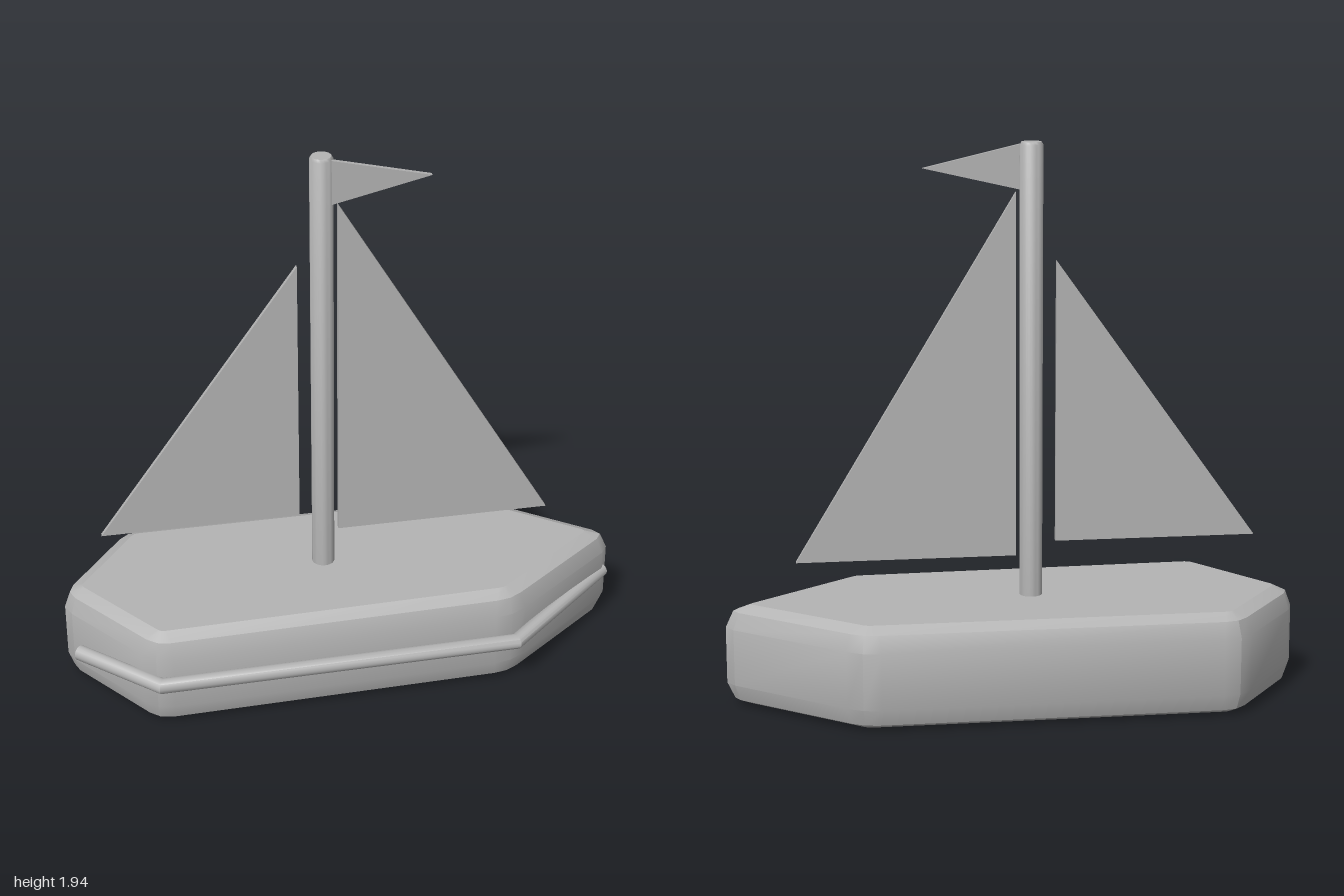
import * as THREE from 'three';
import { toCreasedNormals } from 'three/addons/utils/BufferGeometryUtils.js';

const V = (x, z) => new THREE.Vector2(x, z);

// Closed solid skinned over equal-length rings of [x, y, z] points
function loft(rings, crease) {
  const n = rings[0].length, last = (rings.length - 1) * n, index = [];
  for (let i = 0; i < rings.length - 1; i++) {
    for (let j = 0; j < n; j++) {
      const a = i * n + j, b = i * n + (j + 1) % n;
      index.push(a, b, b + n, a, b + n, a + n);
    }
  }
  for (let j = 1; j < n - 1; j++) {
    index.push(0, j + 1, j, last, last + j, last + j + 1);
  }
  const geo = new THREE.BufferGeometry();
  geo.setAttribute('position', new THREE.Float32BufferAttribute(rings.flat(2), 3));
  geo.setIndex(index);
  return toCreasedNormals(geo, crease);
}

// Sideways vector of a path point, lengthened so that corners are mitred
function mitre(prev, p, next) {
  const side = (a, b) => { const d = b.clone().sub(a).normalize(); return V(-d.y, d.x); };
  const n1 = side(prev ?? p, next && !prev ? next : p);
  const n2 = next ? side(p, next) : n1;
  const m = n1.clone().add(n2).normalize();
  return m.divideScalar(m.dot(n1));
}

// Hull deck plan, inset by a distance and with each corner rounded to three points
function hullRing(plan, y, inset) {
  const n = plan.length;
  const pts = plan.map((p, i) =>
    p.clone().addScaledVector(mitre(plan[(i + n - 1) % n], p, plan[(i + 1) % n]), -inset));
  const r = 0.065 - inset * 0.75;
  return pts.flatMap((p, i) => {
    const toward = (q) => q.clone().sub(p).setLength(r).add(p);
    const a = toward(pts[(i + n - 1) % n]), c = toward(pts[(i + 1) % n]);
    const b = a.clone().add(c).multiplyScalar(0.25).addScaledVector(p, 0.5);
    return [a, b, c].map((q) => [q.x, y, q.y]);
  });
}

function hullGeometry() {
  const plan = [V(-0.73, 0.355), V(0.55, 0.325), V(1.022, -0.035),
    V(0.55, -0.4), V(-0.75, -0.4), V(-1.02, -0.04)];
  const levels = [[0, 0.065], [0.022, 0.02], [0.08, 0], [0.28, 0], [0.338, 0.02], [0.36, 0.065]];
  return loft(levels.map(([y, inset]) => hullRing(plan, y, inset)), 0.4);
}

// Round rail bent around the front side of the hull
function railGeometry() {
  const path = [V(-0.97, 0.12), V(-0.71, 0.37), V(0.555, 0.355), V(0.978, -0.022)];
  const sides = 16, radius = 0.027;
  const rings = path.map((p, i) => {
    const m = mitre(path[i - 1], p, path[i + 1]);
    return Array.from({ length: sides }, (_, k) => {
      const t = (k / sides) * Math.PI * 2, s = radius * Math.sin(t);
      return [p.x + m.x * s, 0.188 + radius * Math.cos(t), p.y + m.y * s];
    });
  });
  return loft(rings, 0.6);
}

// Thin triangular sheet centred on a depth z
function sheetGeometry(points, z, depth) {
  const shape = new THREE.Shape(points.map(([x, y]) => V(x, y)));
  return new THREE.ExtrudeGeometry(shape, { depth, bevelEnabled: false }).translate(0, 0, z - depth / 2);
}

export function createModel() {
  const grey = new THREE.MeshStandardMaterial({ color: 0xb4b4b4 });
  grey.name = 'plain grey';
  const group = new THREE.Group();
  group.name = 'sailboat';
  const add = (name, geometry) => {
    const mesh = new THREE.Mesh(geometry, grey);
    mesh.name = name;
    group.add(mesh);
    return mesh;
  };

  add('hull', hullGeometry());
  add('sideRail', railGeometry());

  // Mast with a slightly eased top edge
  const profile = [V(0, 0.34), V(0.04, 0.34), V(0.04, 1.93), V(0.034, 1.94), V(0, 1.94)];
  add('mast', toCreasedNormals(new THREE.LatheGeometry(profile, 24), 0.8))
    .position.set(-0.067, 0, -0.037);

  // Sails and pennant
  add('mainSail', sheetGeometry([[-0.015, 0.5], [0.75, 0.5], [-0.015, 1.77]], -0.026, 0.02));
  add('frontSail', sheetGeometry([[-0.855, 0.555], [-0.15, 0.555], [-0.15, 1.54]], -0.053, 0.016));
  add('pennant', sheetGeometry([[-0.038, 1.775], [0.3, 1.853], [-0.038, 1.932]], -0.014, 0.016));

  return group;
}
